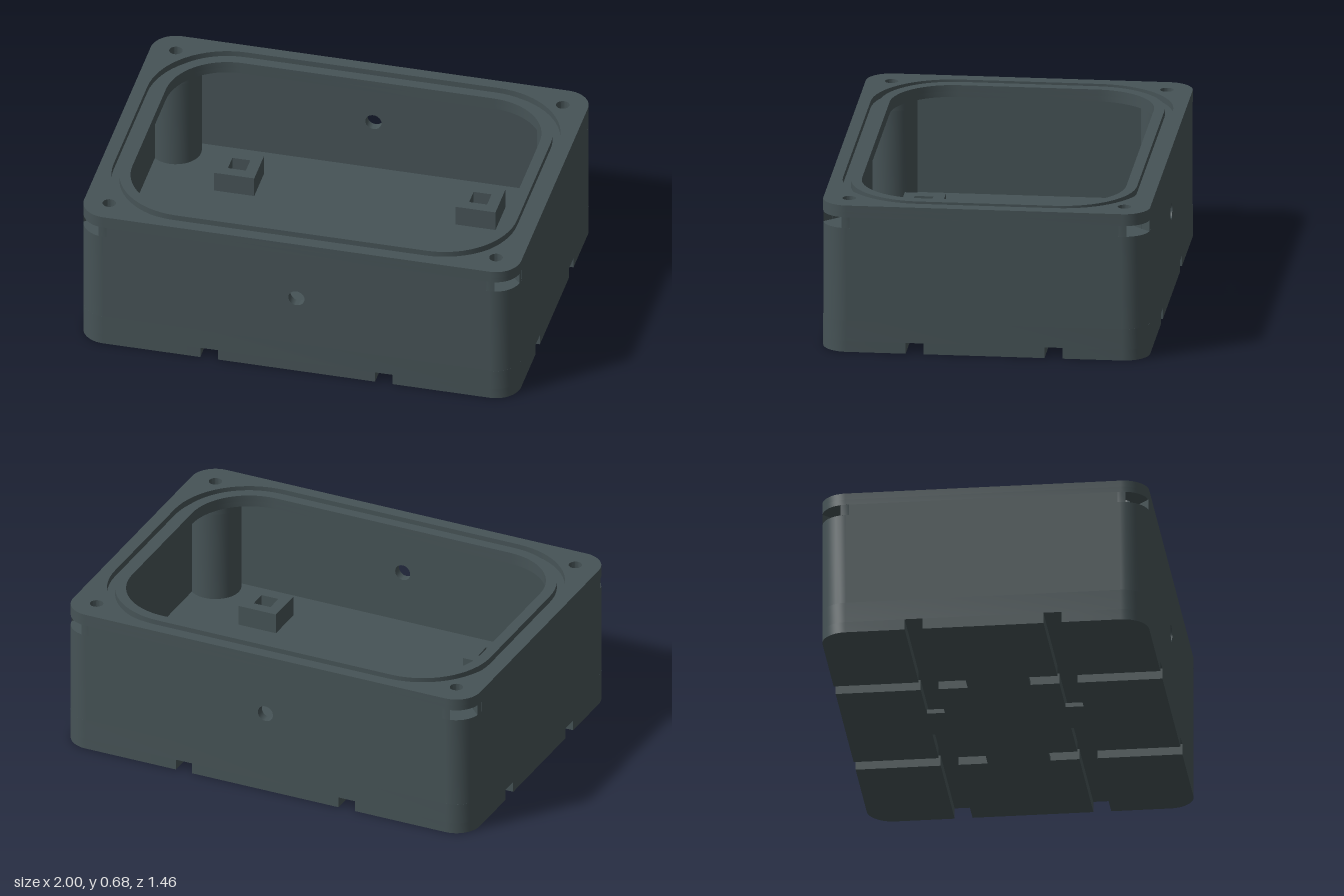
import * as THREE from 'three';
import { toCreasedNormals } from 'three/addons/utils/BufferGeometryUtils.js';

const W = 1, D = 0.73, R = 0.115, WALL = 0.04;      // half width, half depth, corner radius
const PX = W - R, PZ = D - R;                       // screw post centres
const Y = { bridge: 0.02, groove: 0.05, floor: 0.145, slot: 0.575, flange: 0.625, seal: 0.65, top: 0.68 };
const GX = [0.36, 0.44], GZ = [0.27, 0.35];         // strap groove bands
const END_X = 0.11, END_Z = 0.14;                   // inner ends of the open grooves
const SIGNS = [-1, 1];
const CORNERS = [[1, 1], [-1, 1], [-1, -1], [1, -1]];

const toPoints = (list) => list.map(([x, z]) => new THREE.Vector2(x, z));

function arc(cx, cz, r, start, end, steps = 16) {
  return Array.from({ length: steps + 1 }, (_, i) => {
    const a = start + (end - start) * i / steps;
    return [cx + r * Math.cos(a), cz + r * Math.sin(a)];
  });
}

function roundedRect(hx, hz, r) {
  return CORNERS.flatMap(([sx, sz], i) =>
    arc(sx * (hx - r), sz * (hz - r), r, i * Math.PI / 2, (i + 1) * Math.PI / 2));
}

const rect = (x0, x1, z0, z1) => [[x0, z0], [x1, z0], [x1, z1], [x0, z1]];
const circle = (x, z, r) => arc(x, z, r, 0, Math.PI * 2, 32).slice(0, -1);

function extrude(outline, holes, depth) {
  const shape = new THREE.Shape(toPoints(outline));
  shape.holes = holes.map((h) => new THREE.Path(toPoints(h)));
  return new THREE.ExtrudeGeometry(shape, { depth, bevelEnabled: false });
}

export function createModel() {
  const group = new THREE.Group();
  group.name = 'enclosureBase';
  const plastic = new THREE.MeshStandardMaterial({ color: 0x465356 });
  plastic.name = 'slateGrey';

  function add(name, geometry) {
    const mesh = new THREE.Mesh(toCreasedNormals(geometry, 0.5), plastic);
    mesh.name = name;
    group.add(mesh);
    return mesh;
  }

  // Horizontal slab with a plan outline between two heights
  function slab(name, y0, y1, outline, holes = []) {
    const g = extrude(outline, holes, y1 - y0);
    g.rotateX(-Math.PI / 2);
    g.translate(0, y0, 0);
    return add(name, g);
  }

  // Underside: centre plate outlined around the open strap grooves
  const quarter = [
    [W, GZ[0]], [GX[1], GZ[0]], [GX[1], END_Z], [GX[0], END_Z], [GX[0], GZ[0]],
    [END_X, GZ[0]], [END_X, GZ[1]], [GX[0], GZ[1]], [GX[0], D],
  ];
  const underside = CORNERS.flatMap(([sx, sz]) => {
    const part = quarter.map(([x, z]) => [x * sx, z * sz]);
    return sx * sz > 0 ? part : part.reverse();
  });
  slab('undersidePlate', 0, Y.bridge, underside);

  // Strap tunnels run on above the plate between these blocks
  slab('centreBlock', Y.bridge, Y.groove, rect(-GX[0], GX[0], -GZ[0], GZ[0]));
  for (const s of SIGNS) {
    slab('sideBlock', Y.bridge, Y.groove, rect(s * GX[1], s * W, -GZ[0], GZ[0]));
    slab('edgeBlock', Y.bridge, Y.groove, rect(-GX[0], GX[0], s * GZ[1], s * D));
  }
  for (const [sx, sz] of CORNERS) {
    const foot = [[GX[1], GZ[1]], [W, GZ[1]], ...arc(PX, PZ, R, 0, Math.PI / 2), [GX[1], D]];
    slab('cornerFoot', 0, Y.groove, foot.map(([x, z]) => [x * sx, z * sz]));
  }

  // Floor
  slab('floor', Y.groove, Y.floor, roundedRect(W, D, R));

  // Walls: the front and back panels carry a round hole
  for (const s of SIGNS) {
    const panel = extrude(rect(-PX, PX, Y.floor, Y.slot), [circle(0, 0.39, 0.037)], WALL);
    panel.translate(0, 0, s > 0 ? D - WALL : -D);
    add(s > 0 ? 'frontWall' : 'backWall', panel);
    slab('sideWall', Y.floor, Y.slot, rect(s * (W - WALL), s * W, -PZ, PZ));

    // Upper wall band stops short of the nut slots
    const gap = 0.015;
    slab('upperEndWall', Y.slot, Y.flange, rect(-PX + gap, PX - gap, s * (D - WALL), s * D));
    slab('upperSideWall', Y.slot, Y.flange, rect(s * (W - WALL), s * W, -PZ + gap, PZ - gap));
  }

  // Corner screw posts, nut slots opening diagonally outwards, and floor standoffs
  const half = 0.065, open = Math.asin(half / R);
  const slotted = [...arc(0, 0, R, open, Math.PI * 2 - open, 36), [-0.05, -half], [-0.05, half]];
  for (const [sx, sz] of CORNERS) {
    slab('screwPost', Y.floor, Y.slot, circle(sx * PX, sz * PZ, R));

    const nutSlot = slab('nutSlot', Y.slot, Y.flange, slotted);
    nutSlot.position.set(sx * PX, 0, sz * PZ);
    nutSlot.rotation.y = Math.atan2(-sz, sx);

    const bx = sx * 0.552, bz = sz * 0.438, o = 0.092, i = 0.041;
    slab('standoff', Y.floor, 0.24, rect(bx - o, bx + o, bz - o, bz + o),
      [rect(bx - i, bx + i, bz - i, bz + i)]);
  }

  // Top flange with screw holes and a seal groove around the opening
  const screwHoles = CORNERS.map(([sx, sz]) => circle(sx * PX, sz * PZ, 0.03));
  const opening = roundedRect(0.855, 0.59, 0.28);
  slab('flange', Y.flange, Y.seal, roundedRect(W, D, R), [opening, ...screwHoles]);
  slab('outerRim', Y.seal, Y.top, roundedRect(W, D, R), [roundedRect(0.94, 0.675, 0.365), ...screwHoles]);
  slab('sealLip', Y.seal, Y.top, roundedRect(0.905, 0.638, 0.33), [opening]);

  return group;
}
